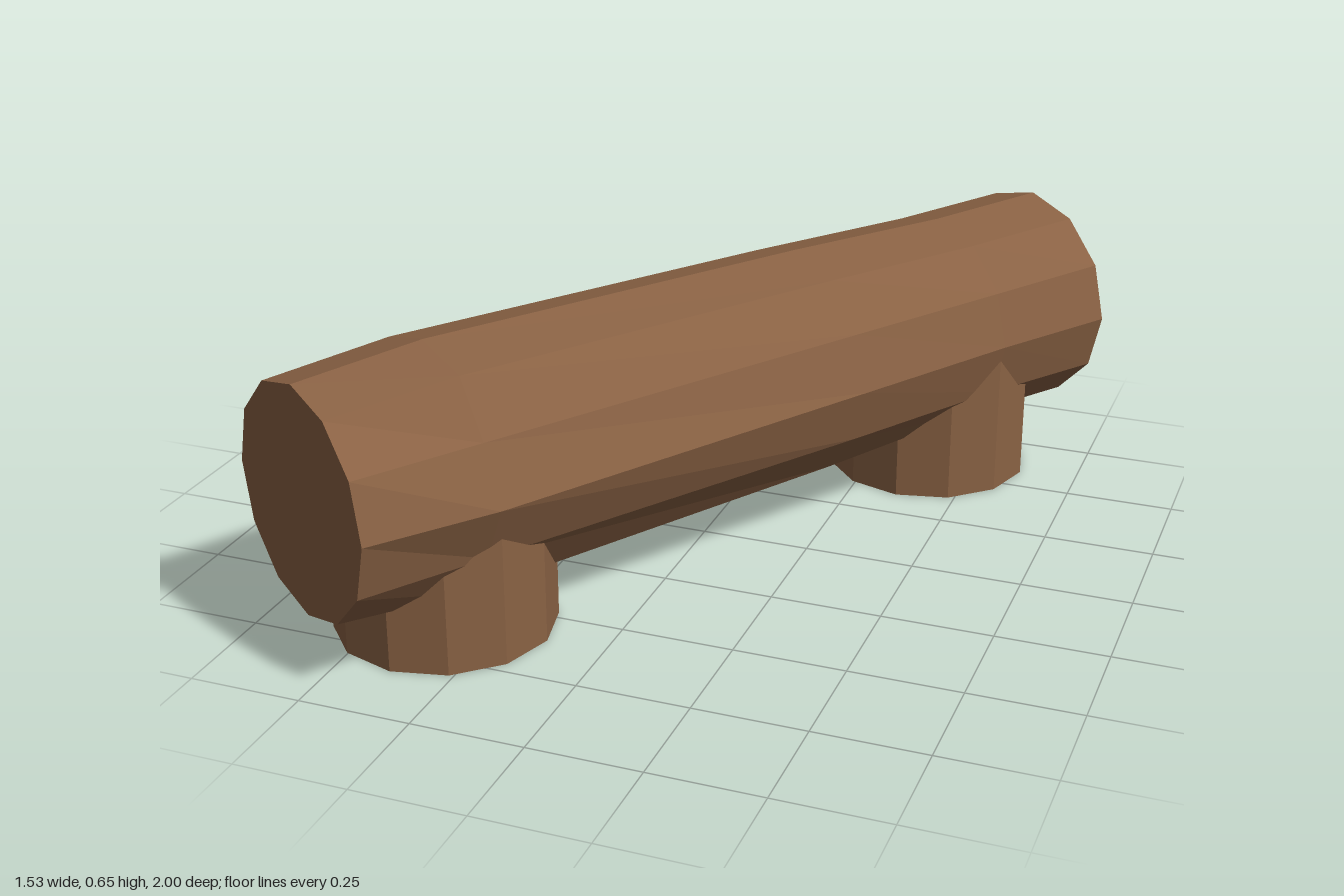
import * as THREE from 'three';

const SIDES = 12;
const AXIS_Y = 0.373;
const YAW = THREE.MathUtils.degToRad(32.4); // how far the log is turned on the ground

// Rings along the log: position, then radius of each corner
// (counted from the outer side, over the top, and round underneath)
const END = Array(SIDES).fill(0.257);
const RINGS = [
  [-1.021, END],
  [-0.72, [0.281, 0.26, 0.285, 0.281, 0.28, 0.27, 0.257, 0.268, 0.28, 0.279, 0.28, 0.257]],
  [0.26, [0.261, 0.255, 0.267, 0.267, 0.266, 0.262, 0.257, 0.262, 0.266, 0.266, 0.266, 0.256]],
  [0.70, [0.251, 0.25, 0.253, 0.253, 0.254, 0.255, 0.256, 0.255, 0.253, 0.252, 0.251, 0.25]],
  [1.021, END],
];

// Uneven log body: a plain cylinder whose rings are moved and reshaped
function logGeometry() {
  const last = RINGS.length - 1;
  const geo = new THREE.CylinderGeometry(1, 1, last, SIDES, last);
  const pos = geo.attributes.position;
  for (let i = 0; i < pos.count; i++) {
    const [along, radii] = RINGS[Math.round(pos.getY(i) + last / 2)];
    const x = pos.getX(i), z = pos.getZ(i);
    const corner = Math.round(Math.atan2(z, x) / (2 * Math.PI) * SIDES + SIDES) % SIDES;
    pos.setXYZ(i, x * radii[corner], along, z * radii[corner]);
  }
  // Lay it down: x becomes the side direction, y the length, z up
  const side = new THREE.Vector3(Math.cos(YAW), 0, Math.sin(YAW));
  const length = new THREE.Vector3(Math.sin(YAW), 0, -Math.cos(YAW));
  geo.applyMatrix4(new THREE.Matrix4().makeBasis(side, length, new THREE.Vector3(0, 1, 0)));
  geo.computeVertexNormals();
  return geo;
}

export function createModel() {
  const group = new THREE.Group();
  group.name = 'logBench';
  const wood = new THREE.MeshStandardMaterial({ color: 0x8a6244, flatShading: true });

  const log = new THREE.Mesh(logGeometry(), wood);
  log.name = 'seatLog';
  log.position.y = AXIS_Y;
  group.add(log);

  // Two upright stumps, sunk into the log
  for (const [name, s] of [['frontStump', -1], ['backStump', 1]]) {
    const stump = new THREE.Mesh(new THREE.CylinderGeometry(0.242, 0.242, AXIS_Y, SIDES), wood);
    stump.name = name;
    stump.position.set(s * 0.373, AXIS_Y / 2, -s * 0.59);
    stump.rotation.y = -YAW;
    group.add(stump);
  }
  return group;
}
